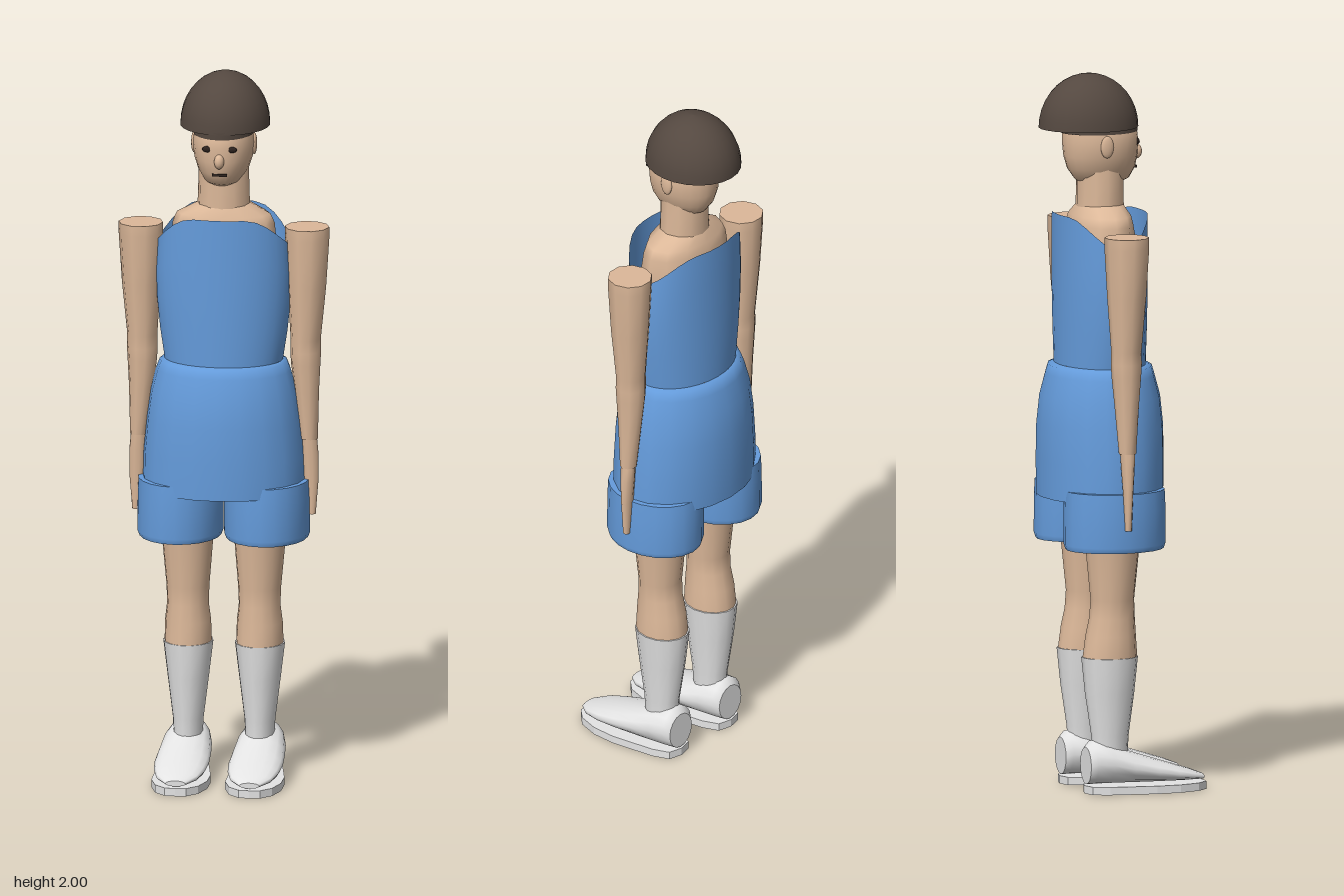
import * as THREE from 'three';

const flat = (name, color) => {
  const m = new THREE.MeshStandardMaterial({ color, side: THREE.DoubleSide });
  m.name = name;
  return m;
};

// Skin of elliptical rings, bottom to top. Each row: [y, centreX, centreZ, radiusX, radiusZ]
function loft(rows, n = 16, caps = true) {
  const pos = [], idx = [];
  const ring = ([y, cx, cz, rx, rz]) => {
    for (let j = 0; j < n; j++) {
      const a = (j / n) * Math.PI * 2;
      pos.push(cx + rx * Math.cos(a), y, cz + rz * Math.sin(a));
    }
  };
  rows.forEach(ring);
  for (let i = 0; i < rows.length - 1; i++) {
    for (let j = 0; j < n; j++) {
      const k = (j + 1) % n;
      const a = i * n + j, b = i * n + k, c = a + n, d = b + n;
      idx.push(a, c, b, b, c, d);
    }
  }
  if (caps) {
    [rows[0], rows[rows.length - 1]].forEach((row, top) => {
      const s = pos.length / 3;
      ring(row);
      pos.push(row[1], row[0], row[2]);
      for (let j = 0; j < n; j++) {
        const k = (j + 1) % n;
        if (top) idx.push(s + n, s + k, s + j);
        else idx.push(s + n, s + j, s + k);
      }
    });
  }
  const g = new THREE.BufferGeometry();
  g.setAttribute('position', new THREE.Float32BufferAttribute(pos, 3));
  g.setIndex(idx);
  g.computeVertexNormals();
  return g;
}

export function createModel() {
  const model = new THREE.Group();
  model.name = 'standingFigure';
  const skin = flat('skin', 0xdcb899);
  const blue = flat('blueCloth', 0x659cdc);
  const white = flat('white', 0xe4e4e4);
  const brown = flat('darkBrown', 0x544840);
  const dark = flat('faceDark', 0x2c221e);
  const add = (name, geometry, material, x = 0, y = 0, z = 0) => {
    const mesh = new THREE.Mesh(geometry, material);
    mesh.name = name;
    mesh.position.set(x, y, z);
    model.add(mesh);
    return mesh;
  };
  const C = -0.044; // depth of the body's axis

  // Body, shoulders and neck
  add('torso', loft([
    [0.86, 0, C, 0.15, 0.1], [1.19, 0, C, 0.14, 0.1], [1.5, 0, C, 0.15, 0.1],
    [1.58, 0, C, 0.142, 0.085], [1.605, 0, C, 0.13, 0.08], [1.635, 0, C, 0.072, 0.064],
  ], 12), skin);
  add('neck', loft([
    [1.6, 0, C, 0.075, 0.068], [1.66, 0, C, 0.072, 0.066], [1.74, 0, C, 0.07, 0.066],
  ], 12), skin);

  // Sleeveless top: the rim is high at chest and back and dips at the arms
  const shirt = loft([
    [0, 0, C, 0.165, 0.122], [0.25, 0, C, 0.178, 0.124], [0.5, 0, C, 0.186, 0.125],
    [0.75, 0, C, 0.189, 0.125], [1, 0, C, 0.184, 0.125],
  ], 32, false);
  const p = shirt.attributes.position;
  for (let i = 0; i < p.count; i++) {
    const side = Math.max(0, (Math.abs(p.getX(i)) - 0.07) / 0.114);
    p.setY(i, 1.19 + p.getY(i) * (0.42 - 0.085 * side * side));
  }
  shirt.computeVertexNormals();
  add('shirt', shirt, blue);

  // Shorts: open hip shell, with a narrow waist rim, over two leg pieces
  add('shortsHips', loft([
    [0.82, 0, C, 0.226, 0.17], [0.92, 0, C, 0.224, 0.172], [1.02, 0, C, 0.215, 0.171],
    [1.1, 0, C, 0.204, 0.163], [1.16, 0, C, 0.188, 0.147], [1.185, 0, C, 0.178, 0.14],
    [1.19, 0, C, 0.165, 0.122],
  ], 20, false), blue);

  // Head, seen under the hair
  add('head', loft([
    [1.69, 0, -0.04, 0.03, 0.05], [1.705, 0, -0.038, 0.052, 0.078], [1.735, 0, -0.04, 0.07, 0.097],
    [1.77, 0, -0.042, 0.081, 0.105], [1.81, 0, -0.043, 0.086, 0.108], [1.85, 0, -0.045, 0.08, 0.106],
    [1.9, 0, -0.06, 0.06, 0.08],
  ], 24), skin);
  add('hairBand', loft([
    [1.836, 0, -0.046, 0.085, 0.109], [1.856, 0, -0.046, 0.083, 0.109],
  ], 24), brown);
  const dome = [];
  for (let i = 0; i <= 9; i++) {
    const t = (i / 9) * Math.PI * 0.495;
    dome.push([1.85 + 0.15 * Math.sin(t), 0, -0.077, 0.125 * Math.cos(t), 0.14 * Math.cos(t)]);
  }
  add('hairDome', loft(dome, 24), brown);

  // Face
  const ball = new THREE.SphereGeometry(1, 14, 10);
  add('nose', ball, skin, 0, 1.775, 0.064).scale.set(0.014, 0.021, 0.016);
  add('mouth', new THREE.BoxGeometry(0.042, 0.007, 0.008), dark, 0, 1.735, 0.055);

  // Outline of the sole
  const outline = [[0, -0.125], [0.04, -0.115], [0.058, -0.07], [0.068, -0.01], [0.079, 0.06],
    [0.078, 0.13], [0.06, 0.19], [0.03, 0.222], [0, 0.225]];
  const both = [...outline, ...outline.slice(1, -1).reverse().map(([x, z]) => [-x, z])];
  const soleGeo = new THREE.ExtrudeGeometry(
    new THREE.Shape(both.map(([x, z]) => new THREE.Vector2(x, z))),
    { depth: 0.022, bevelEnabled: false });
  soleGeo.rotateX(Math.PI / 2);

  // Upper of the shoe: [z, half width, top height]
  const shoeGeo = loft([
    [-0.122, 0.046, 0.13], [-0.105, 0.06, 0.148], [-0.06, 0.068, 0.14], [0, 0.073, 0.115],
    [0.07, 0.076, 0.092], [0.13, 0.071, 0.073], [0.18, 0.058, 0.057], [0.218, 0.028, 0.042],
  ].map(([z, w, h]) => [z, 0, -(h + 0.026) / 2, w, (h - 0.026) / 2]), 16);
  shoeGeo.rotateX(Math.PI / 2);

  for (const s of [1, -1]) {
    const tag = s > 0 ? 'left' : 'right';
    const limb = (name, rows, material, n) =>
      add(tag + name, loft(rows.map(([y, x, z, a, b = a]) => [y, s * x, z, a, b]), n), material);

    // Arm and tapering hand
    limb('Arm', [
      [0.965, 0.238, -0.048, 0.024], [1.1, 0.231, -0.048, 0.034], [1.18, 0.228, -0.048, 0.041],
      [1.215, 0.228, -0.048, 0.043], [1.25, 0.228, -0.048, 0.042], [1.4, 0.231, -0.048, 0.054],
      [1.54, 0.232, -0.048, 0.062], [1.57, 0.232, -0.048, 0.062],
    ], skin, 10);
    limb('Hand', [
      [0.75, 0.246, -0.048, 0.01, 0.009], [0.85, 0.243, -0.048, 0.021, 0.013],
      [0.92, 0.241, -0.048, 0.023, 0.018], [0.965, 0.239, -0.048, 0.021, 0.021],
    ], skin, 10);

    // Leg, sock and shorts leg
    limb('Leg', [
      [0.38, 0.1, -0.05, 0.066, 0.077], [0.44, 0.1, -0.048, 0.064, 0.071],
      [0.49, 0.1, -0.044, 0.058, 0.064], [0.54, 0.1, -0.043, 0.06, 0.061],
      [0.69, 0.101, -0.043, 0.073, 0.076], [0.88, 0.105, -0.043, 0.085, 0.09],
    ], skin, 14);
    limb('Sock', [
      [0.1, 0.1, -0.05, 0.04, 0.05], [0.16, 0.1, -0.05, 0.043, 0.053],
      [0.28, 0.1, -0.051, 0.058, 0.07], [0.38, 0.1, -0.051, 0.07, 0.08],
    ], white, 14);
    limb('ShortsLeg', [
      [0.685, 0.121, C, 0.114, 0.139], [0.7, 0.121, C, 0.12, 0.144],
      [0.8, 0.12, C, 0.12, 0.144], [0.85, 0.119, C, 0.119, 0.142],
    ], blue, 20);

    // Shoe
    add(tag + 'Shoe', shoeGeo, white, s * 0.103);
    add(tag + 'Sole', soleGeo, white, s * 0.103, 0.022);

    // Eye and ear
    add(tag + 'Eye', ball, dark, s * 0.033, 1.808, 0.054).scale.set(0.016, 0.009, 0.006);
    add(tag + 'Ear', ball, skin, s * 0.084, 1.802, -0.052).scale.set(0.008, 0.031, 0.019);
  }
  return model;
}
